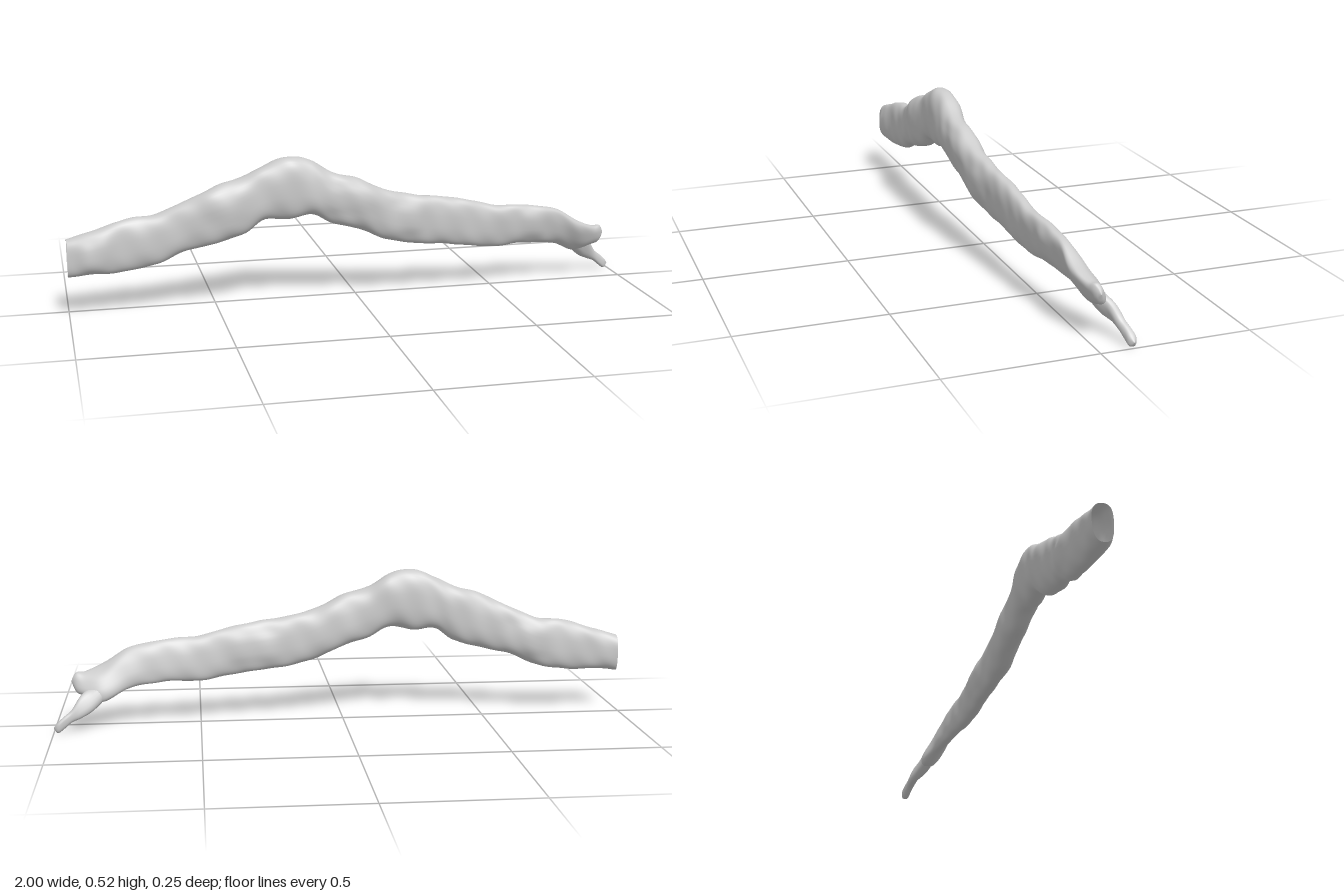
import * as THREE from 'three';

// Cross-sections along x: [x, top, bottom, back z, front z, lean (z per y)]
const LIMB = [
  [-1, 0.272, 0.14, 0.022, 0.09, 0],
  [-0.93, 0.29, 0.148, 0.024, 0.102, 0],
  [-0.8, 0.33, 0.15, 0.022, 0.094, 0],
  [-0.7, 0.342, 0.17, 0.018, 0.095, 0],
  [-0.6, 0.382, 0.213, 0.026, 0.105, 0],
  [-0.5, 0.43, 0.232, 0.028, 0.116, 0],
  [-0.4, 0.46, 0.265, 0.022, 0.117, 0],
  [-0.34, 0.487, 0.305, 0.022, 0.117, 0],
  [-0.25, 0.521, 0.303, 0.022, 0.118, 0],
  [-0.17, 0.503, 0.314, 0.022, 0.116, 0],
  [-0.1, 0.46, 0.282, 0.022, 0.114, 0.05],
  [0, 0.43, 0.25, 0.014, 0.11, 0.05],
  [0.1, 0.384, 0.206, 0.011, 0.1, 0.05],
  [0.2, 0.36, 0.186, 0.008, 0.086, 0.05],
  [0.36, 0.338, 0.166, 0, 0.07, 0.05],
  [0.5, 0.302, 0.147, -0.012, 0.06, 0.1],
  [0.62, 0.294, 0.148, -0.022, 0.045, 0.15],
  [0.75, 0.266, 0.133, -0.048, 0.032, 0.3],
  [0.84, 0.215, 0.095, -0.078, 0.025, 0.5],
  [0.9, 0.192, 0.115, -0.06, 0.006, 0.4],
  [0.93, 0.188, 0.132, -0.042, -0.008, 0.2],
  [0.942, 0.164, 0.162, -0.026, -0.024, 0],
];
const TWIG = [
  [0.8, 0.2, 0.13, -0.06, 0, 0.3],
  [0.87, 0.15, 0.066, -0.094, -0.025, 0.4],
  [0.91, 0.12, 0.046, -0.107, -0.06, 0.3],
  [0.94, 0.076, 0.034, -0.111, -0.08, 0.1],
  [0.965, 0.056, 0.014, -0.118, -0.09, 0],
  [0.988, 0.036, 0.002, -0.122, -0.097, 0],
  [1, 0.02, 0.018, -0.111, -0.109, 0],
];

// Uneven bark: low waves that close around the ring
const bark = (x, a) =>
  0.4 * Math.sin(23 * x + 2 * a) +
  0.35 * Math.sin(41 * x - 3 * a + 1) +
  0.25 * Math.sin(67 * x + 4 * a + 2);

// Flat-topped raised patches: [x, y, half length, half height, side]
const PATCHES = [
  [-0.48, 0.38, 0.07, 0.05, 1], [-0.91, 0.21, 0.05, 0.055, 1],
  [0.17, 0.28, 0.06, 0.05, 1], [0.65, 0.22, 0.05, 0.05, 1],
  [-0.05, 0.37, 0.1, 0.04, 1], [-0.66, 0.26, 0.08, 0.05, -1],
  [0.3, 0.26, 0.09, 0.045, -1],
];
const patch = (x, y, side) => PATCHES.reduce((sum, [px, py, w, h, s]) => {
  const d = ((x - px) / w) ** 4 + ((y - py) / h) ** 4;
  return sum + (s * side > 0 ? 0.006 * Math.exp(-d) : 0);
}, 0);

// Smooth skin through a row of cross-sections
function loft(rows, steps, sides, roughness) {
  const spline = new THREE.CubicInterpolant(
    rows.map((r) => r[0]), rows.flatMap((r) => r.slice(1)), 5);
  const x0 = rows[0][0], x1 = rows[rows.length - 1][0];
  const round = (v) => Math.sign(v) * Math.abs(v) ** 0.8;
  const positions = [], index = [];
  for (let i = 0; i <= steps; i++) {
    const x = x0 + ((x1 - x0) * i) / steps;
    const [top, bottom, back, front, lean] = spline.evaluate(x);
    const hy = (top - bottom) / 2, cy = (top + bottom) / 2;
    const cz = (front + back) / 2;
    const hz = Math.max((front - back) / 2 - Math.abs(lean) * hy * 0.5, 0.001);
    for (let j = 0; j < sides; j++) {
      const a = (j / sides) * Math.PI * 2;
      const swell = 1 + roughness * bark(x, a);
      const dy = hy * round(Math.sin(a)) * (1 + (swell - 1) * 0.4);
      const c = round(Math.cos(a));
      const relief = roughness * 14 * patch(x, cy + dy, c) * c;
      positions.push(x, cy + dy, cz + hz * c * swell + lean * dy + relief);
      if (i < steps) {
        const k = (j + 1) % sides, p = i * sides, q = p + sides;
        index.push(p + j, q + j, p + k, q + j, q + k, p + k);
      }
    }
  }
  const geometry = new THREE.BufferGeometry();
  geometry.setAttribute('position', new THREE.Float32BufferAttribute(positions, 3));
  geometry.setIndex(index);
  geometry.computeVertexNormals();
  return geometry;
}

export function createModel() {
  const group = new THREE.Group();
  group.name = 'branch';
  const material = new THREE.MeshStandardMaterial({ color: 0xcccccc, side: THREE.DoubleSide });
  const add = (name, geometry) => {
    const mesh = new THREE.Mesh(geometry, material);
    mesh.name = name;
    group.add(mesh);
  };
  // Bent main limb, open at its cut end and closing to a stub
  add('mainLimb', loft(LIMB, 260, 40, 0.07));
  // Thin twig forking off below the stub
  add('endTwig', loft(TWIG, 40, 24, 0.03));
  return group;
}
